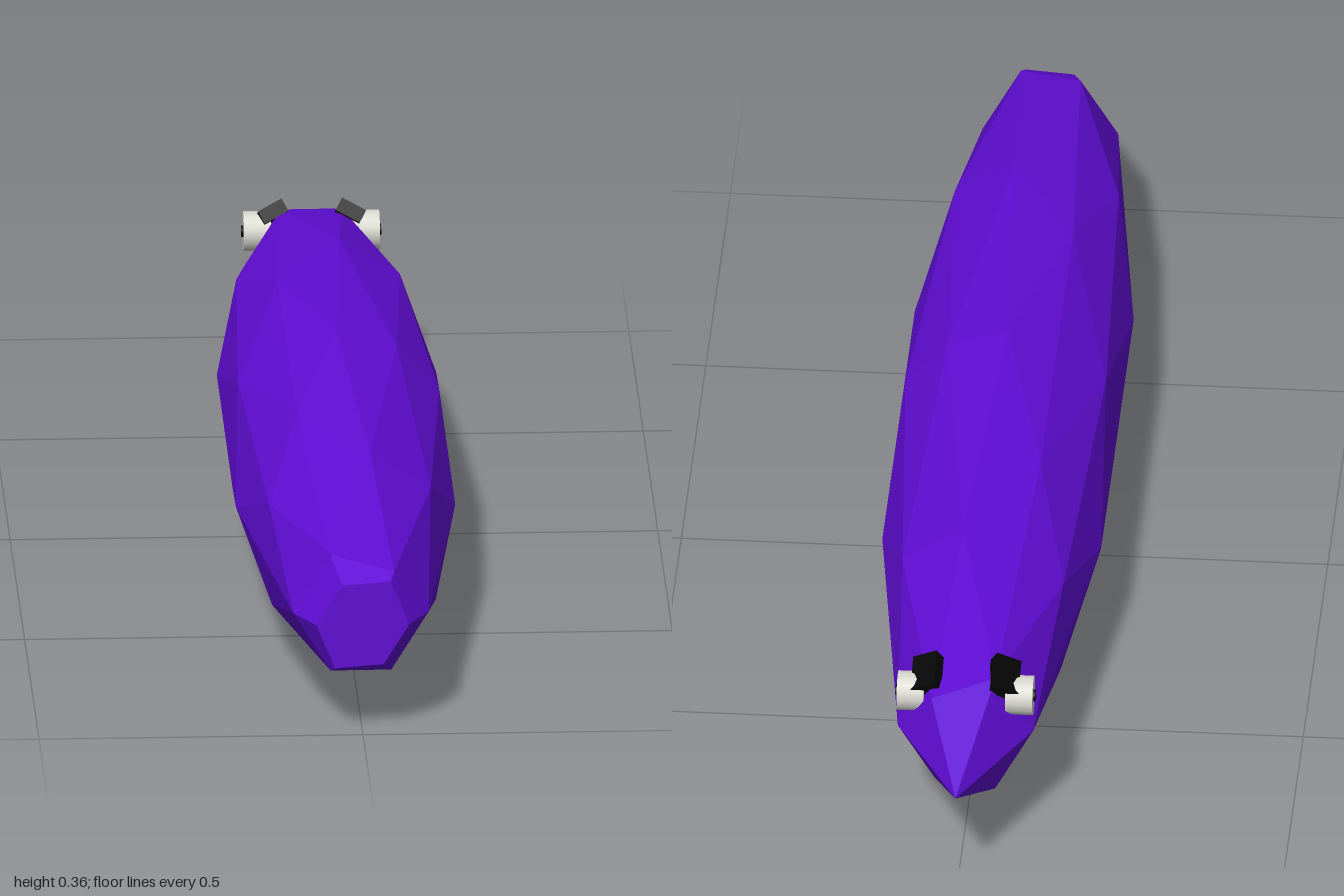
import * as THREE from 'three';
import { ConvexGeometry } from 'three/addons/geometries/ConvexGeometry.js';

const material = (name, color) => Object.assign(new THREE.MeshStandardMaterial({ color }), { name });

// Corner and edge-midpoint vertices of a once-divided icosahedron, pole up
function spherePoints() {
  const corners = [new THREE.Vector3(0, 1, 0), new THREE.Vector3(0, -1, 0)];
  const y = 1 / Math.sqrt(5), r = 2 * y;
  for (let i = 0; i < 5; i++) {
    for (const [h, turn] of [[y, 0], [-y, 36]]) {
      const a = THREE.MathUtils.degToRad(72 * i + turn);
      corners.push(new THREE.Vector3(r * Math.cos(a), h, r * Math.sin(a)));
    }
  }
  const points = [...corners];
  corners.forEach((a, i) => corners.slice(i + 1).forEach((b) => {
    if (a.distanceTo(b) < 1.1) points.push(a.clone().add(b).normalize());
  }));
  return points;
}

export function createModel() {
  const purple = material('purple', 0x600dd4);
  const black = material('black', 0x050505);
  const white = material('off white', 0xd8d8d0);
  const model = new THREE.Group();
  model.name = 'longCreature';

  const add = (parent, name, geometry, mat, x = 0, y = 0, z = 0) => {
    const mesh = new THREE.Mesh(geometry, mat);
    mesh.name = name;
    mesh.position.set(x, y, z);
    parent.add(mesh);
    return mesh;
  };

  // Body: stretched faceted sphere with the front tip cut flat at z = 1
  const place = (p) => new THREE.Vector3(p.x * 0.178, 0.181 + p.y * 0.178, 0.07 + p.z * 1.07);
  const sphere = spherePoints();
  const tip = sphere.find((p) => p.z > 0.99);
  const hull = [];
  for (const p of sphere) {
    if (p === tip) continue;
    hull.push(place(p));
    if (p.distanceTo(tip) < 0.7) {
      const a = place(tip), b = place(p);
      hull.push(a.clone().lerp(b, (a.z - 1) / (a.z - b.z)));
    }
  }
  const bodyGeometry = new ConvexGeometry(hull);

  // Mouth: the single facet under the pointed end is black
  const mouth = [[0, 0, -1], [-0.276, -0.447, -0.851], [0.263, -0.526, -0.809]]
    .map((p) => place(new THREE.Vector3(...p)))
    .reduce((sum, p) => sum.addScaledVector(p, 1 / 3), new THREE.Vector3());
  const pos = bodyGeometry.attributes.position;
  const v = new THREE.Vector3();
  for (let i = 0; i < pos.count; i += 3) {
    const centre = new THREE.Vector3();
    for (let k = 0; k < 3; k++) centre.addScaledVector(v.fromBufferAttribute(pos, i + k), 1 / 3);
    bodyGeometry.addGroup(i, 3, centre.distanceTo(mouth) < 0.01 ? 1 : 0);
  }
  add(model, 'body', bodyGeometry, [purple, black]);

  // Eyes with pupils, under slanted brows
  for (const side of [1, -1]) {
    const face = new THREE.Group();
    face.name = side > 0 ? 'leftEye' : 'rightEye';
    const eye = add(face, 'eyeball', new THREE.CylinderGeometry(0.031, 0.031, 0.042, 16), white, side * 0.084, 0.242, -0.79);
    eye.rotation.z = -side * Math.PI / 2;
    const pupil = add(face, 'pupil', new THREE.CylinderGeometry(0.009, 0.009, 0.004, 12), black, side * 0.106, 0.242, -0.79);
    pupil.rotation.z = -side * Math.PI / 2;
    const brow = add(face, 'brow', new THREE.BoxGeometry(0.042, 0.022, 0.062), black, side * 0.06, 0.272, -0.787);
    brow.rotation.set(-0.4, 0, -side * 0.5);
    model.add(face);
  }
  return model;
}
